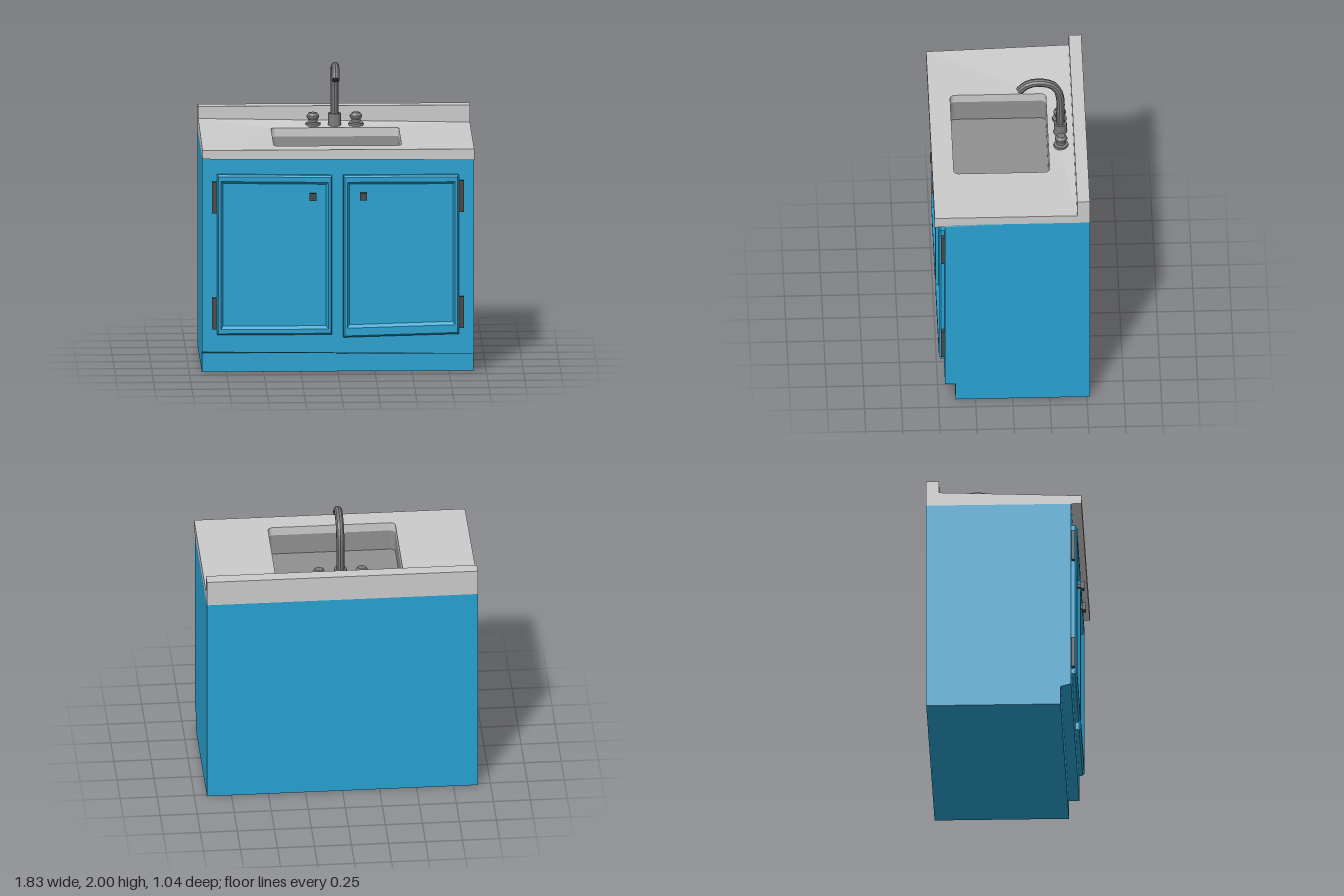
import * as THREE from 'three';

const paint = (color) => new THREE.MeshStandardMaterial({ color, flatShading: true, side: THREE.DoubleSide });
const blue = paint(0x28a2d1);
const stone = paint(0xcccccc);
const basinGrey = paint(0x909090);
const metal = paint(0x7a7a7a);
const dark = paint(0x484848);

const W = 0.915, BASE_TOP = 1.485, DECK = 1.545, SPLASH_Z = -0.435;

function add(parent, name, geometry, material, x = 0, y = 0, z = 0) {
  const mesh = new THREE.Mesh(geometry, material);
  mesh.name = name;
  mesh.position.set(x, y, z);
  parent.add(mesh);
  return mesh;
}

// Box given by its limits on each axis
function block(parent, name, material, [x0, x1], [y0, y1], [z0, z1]) {
  const geo = new THREE.BoxGeometry(x1 - x0, y1 - y0, z1 - z0);
  return add(parent, name, geo, material, (x0 + x1) / 2, (y0 + y1) / 2, (z0 + z1) / 2);
}

// Shift every vertex sitting at a given corner, for a slightly uneven build
function nudge(geo, [x, y, z], dy) {
  const p = geo.attributes.position;
  const target = new THREE.Vector3(x, y, z), v = new THREE.Vector3();
  for (let i = 0; i < p.count; i++) {
    v.fromBufferAttribute(p, i);
    if (v.distanceTo(target) < 0.004) p.setY(i, v.y + dy);
  }
  geo.computeVertexNormals();
}

// Drop the triangles lying in the top plane, leaving the solid open above
function openTop(geo, top) {
  const p = geo.attributes.position, kept = [];
  for (let i = 0; i < p.count; i += 3) {
    if ([0, 1, 2].every((k) => p.getY(i + k) > top - 0.001)) continue;
    for (let k = 0; k < 3; k++) kept.push(p.getX(i + k), p.getY(i + k), p.getZ(i + k));
  }
  const out = new THREE.BufferGeometry();
  out.setAttribute('position', new THREE.Float32BufferAttribute(kept, 3));
  out.computeVertexNormals();
  return out;
}

// Rounded rectangle for the sink opening (shape y is world -z)
function sinkOutline(Type) {
  const x = 0.43, y0 = -0.38, y1 = 0.265, r = 0.035;
  const s = new Type();
  s.absarc(x - r, y0 + r, r, -Math.PI / 2, 0);
  s.absarc(x - r, y1 - r, r, 0, Math.PI / 2);
  s.absarc(-x + r, y1 - r, r, Math.PI / 2, Math.PI);
  s.absarc(-x + r, y0 + r, r, Math.PI, Math.PI * 1.5);
  s.closePath();
  return s;
}

function slab(shape, bottom, top) {
  const geo = new THREE.ExtrudeGeometry(shape, { depth: top - bottom, bevelEnabled: false, curveSegments: 4 });
  return geo.rotateX(-Math.PI / 2).translate(0, bottom, 0);
}

// Skin a stack of four-cornered rings [corners, z] and close the last one
function ringSkin(rings) {
  const pos = [];
  const tri = (...pts) => pts.forEach((p) => pos.push(...p));
  const pts = rings.map(([corners, z]) => corners.map(([x, y]) => [x, y, z]));
  for (let r = 0; r + 1 < pts.length; r++) {
    const a = pts[r], b = pts[r + 1];
    for (let i = 0; i < 4; i++) {
      const j = (i + 1) % 4;
      tri(a[i], a[j], b[j]);
      tri(a[i], b[j], b[i]);
    }
  }
  const c = pts[pts.length - 1];
  tri(c[0], c[1], c[2]);
  tri(c[0], c[2], c[3]);
  const geo = new THREE.BufferGeometry();
  geo.setAttribute('position', new THREE.Float32BufferAttribute(pos, 3));
  geo.computeVertexNormals();
  return geo;
}

// Corners run bottom left, bottom right, top right, top left as seen from the front
function inset(corners, side, bottom, top) {
  const sx = [1, -1, -1, 1];
  return corners.map(([x, y], i) => [x + sx[i] * side, i < 2 ? y + bottom : y - top]);
}

function door(parent, name, outer, bottomRail) {
  add(parent, name, ringSkin([
    [outer, 0.45],
    [outer, 0.48],
    [inset(outer, 0.01, 0.012, 0.012), 0.493],
    [inset(outer, 0.026, bottomRail - 0.02, 0.045), 0.493],
    [inset(outer, 0.04, bottomRail, 0.062), 0.472],
  ]), blue);
}

export function createModel() {
  const model = new THREE.Group();
  model.name = 'sinkCabinet';

  // Cabinet body with recessed toe kick
  const profile = new THREE.Shape([
    [-0.52, 0], [0.385, 0], [0.385, 0.13], [0.455, 0.13], [0.455, BASE_TOP], [-0.52, BASE_TOP],
  ].map(([z, y]) => new THREE.Vector2(z, y)));
  let body = new THREE.ExtrudeGeometry(profile, { depth: 2 * W, bevelEnabled: false });
  body.rotateY(-Math.PI / 2).translate(W, 0, 0);
  body = openTop(body, BASE_TOP);
  nudge(body, [-W, 0.13, 0.455], 0.02);
  add(model, 'cabinetBody', body, blue);

  // Countertop with sink opening
  const top = new THREE.Shape([
    [-W, -0.525], [W, -0.525], [W, -SPLASH_Z], [-W, -SPLASH_Z],
  ].map(([x, y]) => new THREE.Vector2(x, y)));
  top.holes.push(sinkOutline(THREE.Path));
  const counter = slab(top, BASE_TOP, DECK);
  nudge(counter, [-W, DECK, SPLASH_Z], 0.035);
  nudge(counter, [W, BASE_TOP, 0.525], -0.015);
  add(model, 'countertop', counter, stone);
  block(model, 'backsplash', stone, [-W, W], [BASE_TOP, 1.663], [-0.52, SPLASH_Z]);

  // Basin, open above
  add(model, 'basin', openTop(slab(sinkOutline(THREE.Shape), 1.34, 1.486), 1.486), basinGrey);

  // Doors
  door(model, 'rightDoor', [[-0.815, 0.27], [-0.04, 0.27], [-0.04, 1.36], [-0.815, 1.37]], 0.06);
  door(model, 'leftDoor', [[0.035, 0.25], [0.812, 0.27], [0.812, 1.36], [0.035, 1.36]], 0.085);

  // Hinges, door knobs and tap handles on both sides
  const handleProfile = [
    [0.05, 0], [0.05, 0.018], [0.03, 0.024], [0.03, 0.04], [0.042, 0.058], [0.042, 0.07], [0.028, 0.088], [0, 0.088],
  ].map(([r, y]) => new THREE.Vector2(r, y));
  for (const [s, side] of [[-1, 'right'], [1, 'left']]) {
    for (const [y0, y1, level] of [[0.31, 0.525, 'Lower'], [1.105, 1.32, 'Upper']]) {
      const xs = [0.815 * s, 0.848 * s].sort((a, b) => a - b);
      block(model, side + level + 'Hinge', dark, xs, [y0, y1], [0.45, 0.48]);
    }
    const knob = new THREE.Group();
    knob.name = side + 'DoorKnob';
    knob.position.set(0.17 * s, 1.22, 0);
    block(knob, 'knobStem', dark, [-0.012, 0.012], [-0.012, 0.012], [0.47, 0.5]);
    block(knob, 'knobHead', dark, [-0.024, 0.024], [-0.025, 0.025], [0.495, 0.523]);
    model.add(knob);
    add(model, side + 'TapHandle', new THREE.LatheGeometry(handleProfile, 12), metal, 0.145 * s, DECK, -0.35);
  }

  // Faucet: collar and gooseneck spout
  add(model, 'faucetCollar', new THREE.CylinderGeometry(0.043, 0.045, 0.085, 12), metal, 0, DECK + 0.042, -0.35);
  const path = [
    [-0.35, 1.56], [-0.35, 1.7], [-0.35, 1.83], [-0.334, 1.9], [-0.297, 1.95], [-0.235, 1.972],
    [-0.17, 1.972], [-0.112, 1.948], [-0.074, 1.907],
  ].map(([z, y]) => new THREE.Vector3(0, y, z));
  const curve = new THREE.CatmullRomCurve3(path);
  add(model, 'spout', new THREE.TubeGeometry(curve, 18, 0.028, 10), metal);
  const tip = add(model, 'spoutOutlet', new THREE.CircleGeometry(0.028, 10), dark, 0, 1.907, -0.074);
  tip.lookAt(tip.position.clone().add(curve.getTangentAt(1)));

  return model;
}
